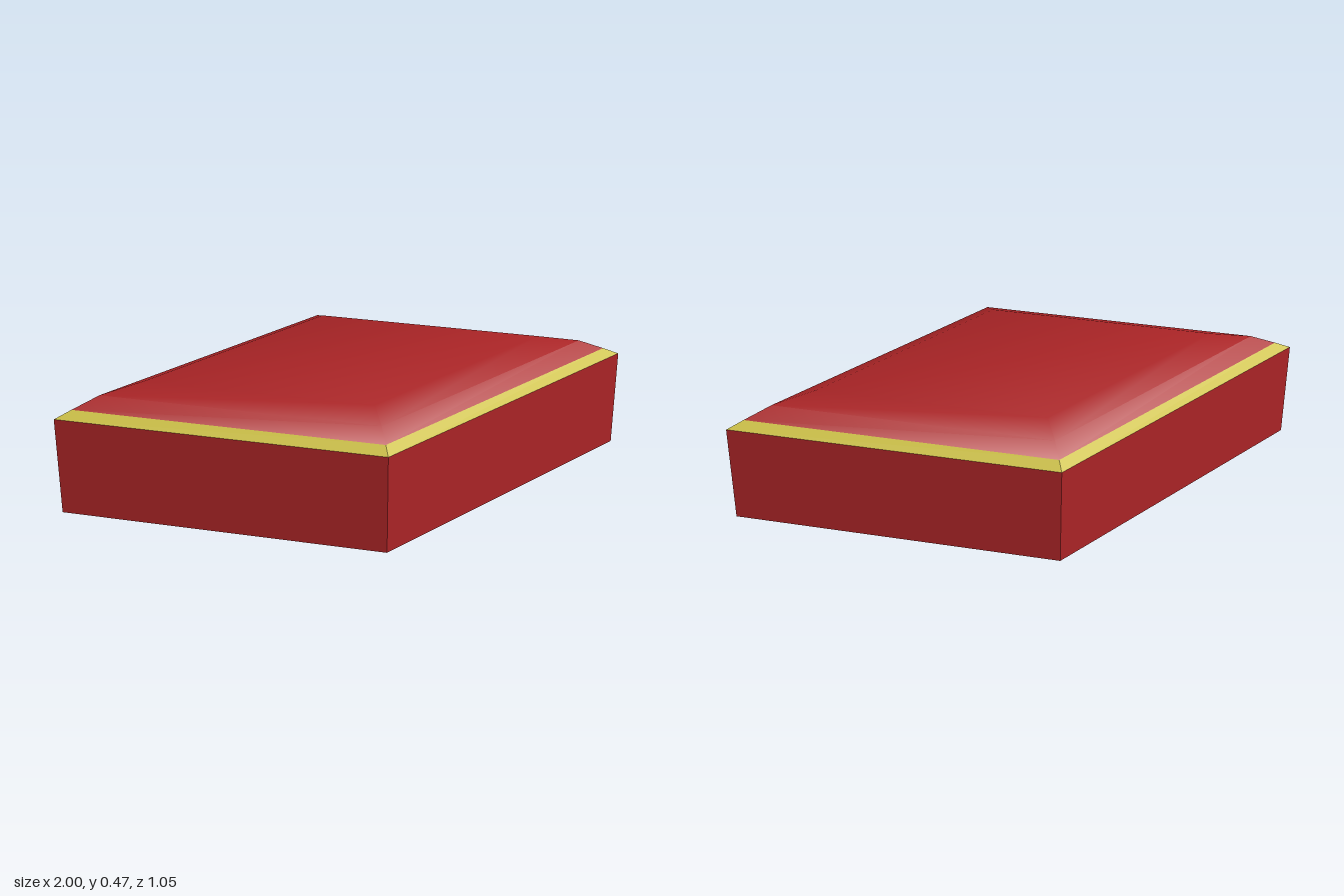
import * as THREE from 'three';
import { toCreasedNormals } from 'three/addons/utils/BufferGeometryUtils.js';

// Rhombus plan [x, z], counter-clockwise seen from above
const PLAN = [[-1, -0.13], [-0.07, 0.523], [1, 0.13], [0.07, -0.523]];

// Skin stacked rhombus sections [scale, y], optionally closing the ends
function loft(sections, { bottom = false, top = false, crease = 0.1 }) {
  const rings = sections.map(([s, y]) => PLAN.map(([x, z]) => [x * s, y, z * s]));
  const pos = [];
  const quad = (a, b, c, d) => pos.push(...a, ...b, ...c, ...a, ...c, ...d);
  for (let k = 0; k < rings.length - 1; k++) {
    const lo = rings[k], hi = rings[k + 1];
    for (let i = 0; i < 4; i++) {
      const j = (i + 1) % 4;
      quad(lo[i], lo[j], hi[j], hi[i]);
    }
  }
  if (bottom) quad(...[...rings[0]].reverse());
  if (top) quad(...rings[rings.length - 1]);
  const geometry = new THREE.BufferGeometry();
  geometry.setAttribute('position', new THREE.Float32BufferAttribute(pos, 3));
  return toCreasedNormals(geometry, crease);
}

export function createModel() {
  const red = new THREE.MeshStandardMaterial({ color: 0xaa2426 });
  red.name = 'red';
  const yellow = new THREE.MeshStandardMaterial({ color: 0xcabe40 });
  yellow.name = 'yellow';

  const model = new THREE.Group();
  model.name = 'rhombusBlock';
  const add = (name, geometry, material) => {
    const mesh = new THREE.Mesh(geometry, material);
    mesh.name = name;
    model.add(mesh);
  };

  // Straight-sided base, bevelled trim, softly domed lid
  add('base', loft([[1, 0], [1, 0.36]], { bottom: true }), red);
  add('trim', loft([[1, 0.36], [0.94, 0.388]], {}), yellow);
  add('lid', loft([[0.94, 0.388], [0.845, 0.43], [0.69, 0.465]], { top: true, crease: 0.9 }), red);
  return model;
}
